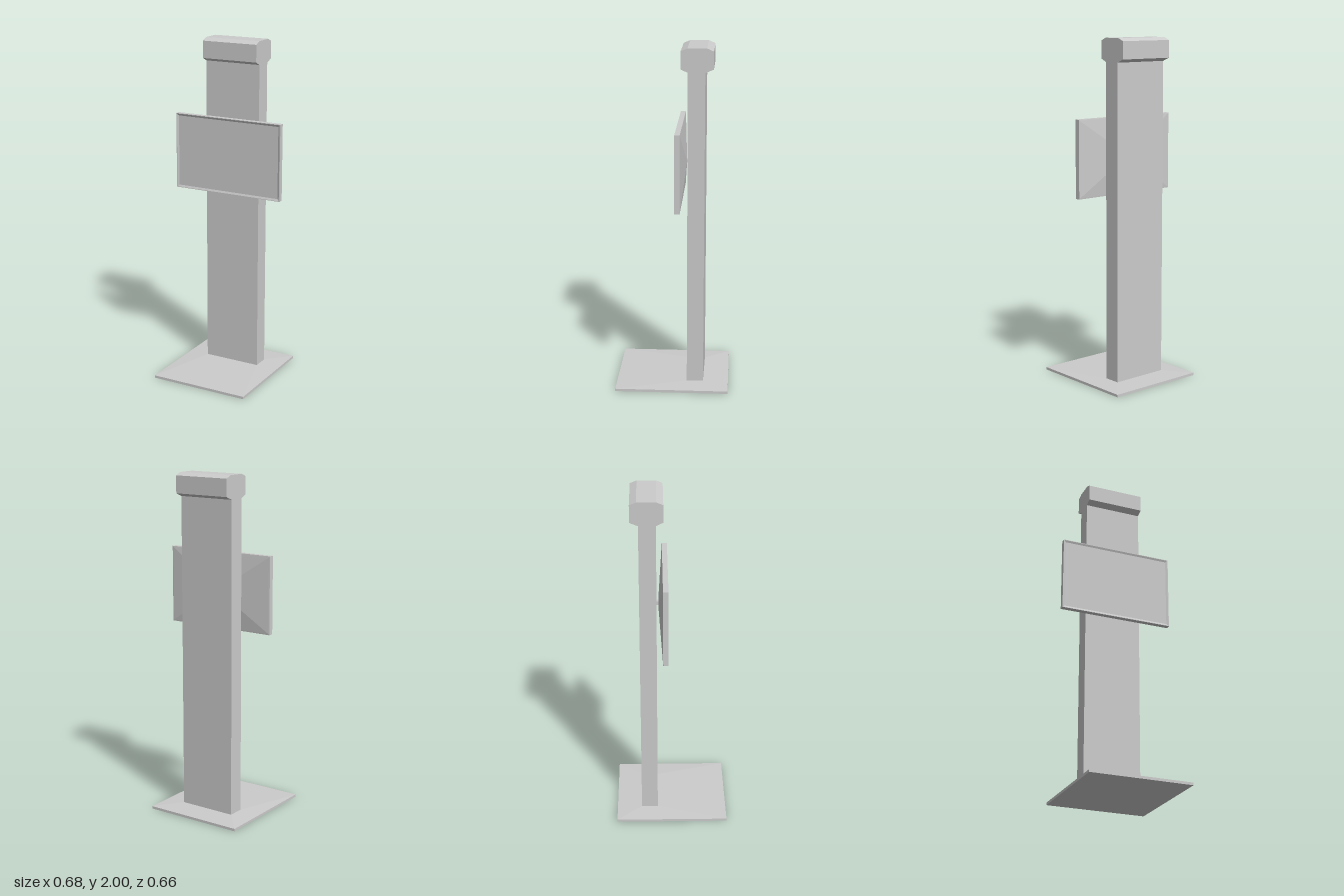
import * as THREE from 'three';

const material = new THREE.MeshStandardMaterial({ color: 0xcccccc, flatShading: true });

// Skin rectangular rings [x0, x1, y0, y1, z], ordered from +z to -z, and cap both ends
function loftRects(rings) {
  const pos = [];
  const loops = rings.map(([x0, x1, y0, y1, z]) => [[x0, y0, z], [x1, y0, z], [x1, y1, z], [x0, y1, z]]);
  const quad = (a, b, c, d) => pos.push(...a, ...b, ...c, ...a, ...c, ...d);
  for (let r = 0; r < loops.length - 1; r++) {
    const front = loops[r], back = loops[r + 1];
    for (let i = 0; i < 4; i++) {
      const j = (i + 1) % 4;
      quad(front[i], back[i], back[j], front[j]);
    }
  }
  const [a, b, c, d] = loops[0];
  quad(a, b, c, d);
  const [e, f, g, h] = loops[loops.length - 1];
  quad(h, g, f, e);
  const geometry = new THREE.BufferGeometry();
  geometry.setAttribute('position', new THREE.Float32BufferAttribute(pos, 3));
  geometry.computeVertexNormals();
  return geometry;
}

export function createModel() {
  const model = new THREE.Group();
  model.name = 'displayStand';
  const add = (name, geometry, x = 0, y = 0, z = 0) => {
    const mesh = new THREE.Mesh(geometry, material);
    mesh.name = name;
    mesh.position.set(x, y, z);
    model.add(mesh);
  };

  // Base plate, rising gently towards the foot of the post
  const base = loftRects([
    [-0.173, 0.173, 0.085, 0.182, 0.022],
    [-0.3, 0.3, -0.33, 0.33, 0.015],
    [-0.3, 0.3, -0.33, 0.33, 0],
  ]);
  add('basePlate', base.rotateX(-Math.PI / 2));

  // Flat upright post
  add('post', new THREE.BoxGeometry(0.346, 1.85, 0.097), 0, 0.945, -0.1335);

  // Chamfered head: side profile (-z, y) extruded across the width
  const profile = [
    [0.085, 1.865], [0.182, 1.865], [0.229, 1.884], [0.229, 1.984],
    [0.191, 2], [0.083, 2], [0.045, 1.984], [0.045, 1.884],
  ].map(([z, y]) => new THREE.Vector2(z, y));
  const head = new THREE.ExtrudeGeometry(new THREE.Shape(profile), { depth: 0.346, bevelEnabled: false });
  add('head', head.rotateY(Math.PI / 2), -0.173);

  // Screen with a shallow recessed front and a tapered back
  const rect = (w, h, z) => [-w, w, 1.325 - h, 1.325 + h, z];
  add('screen', loftRects([
    rect(0.327, 0.211, -0.025),
    rect(0.338, 0.222, -0.02),
    rect(0.342, 0.225, -0.02),
    rect(0.342, 0.225, -0.05),
    rect(0.335, 0.218, -0.051),
    rect(0.02, 0.012, -0.074),
  ]));

  // Short bracket joining screen and post
  add('screenBracket', new THREE.BoxGeometry(0.03, 0.02, 0.02), 0, 1.328, -0.078);

  return model;
}
